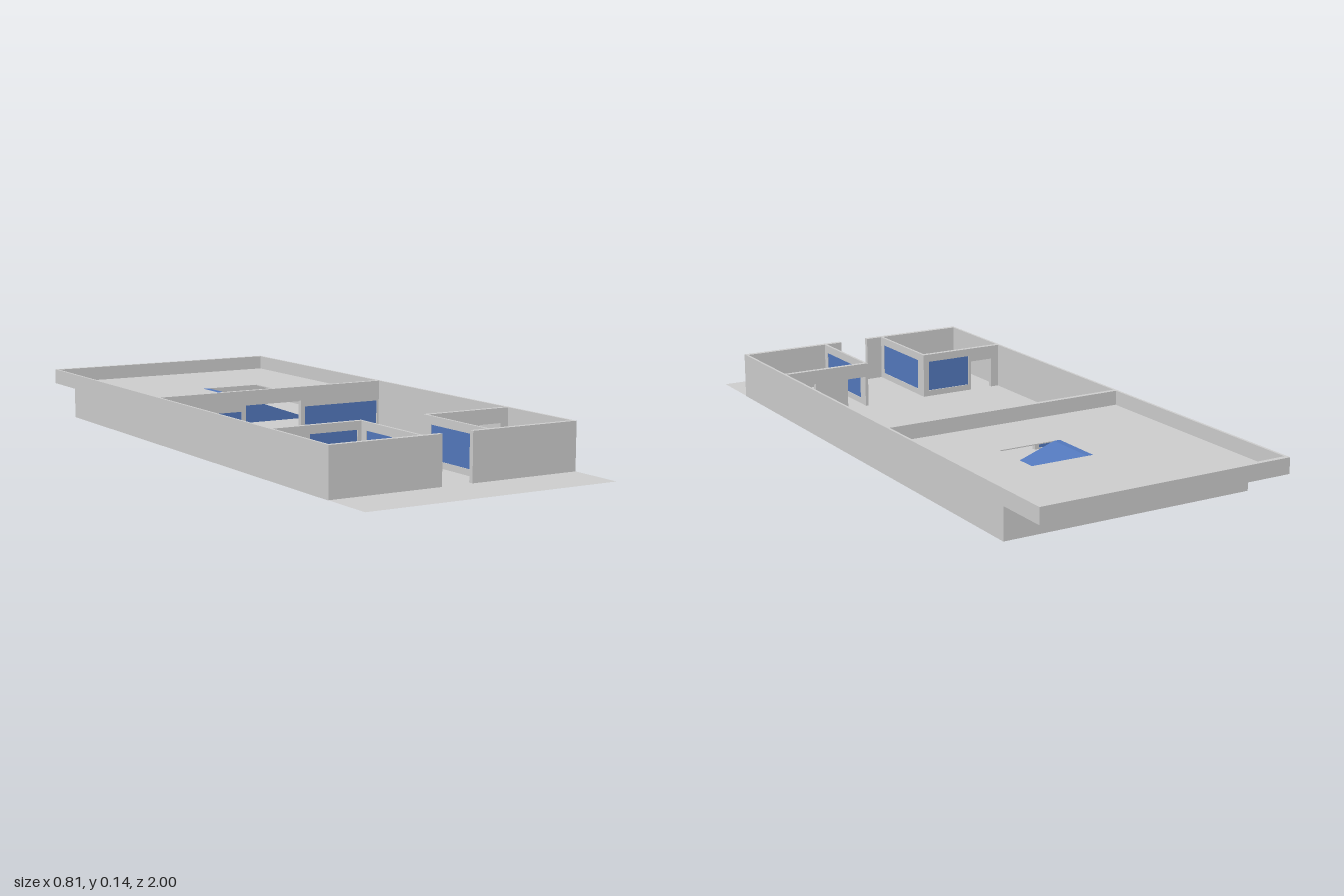
import * as THREE from 'three';

const W = 0.405, H = 0.145, DECK = 0.1, TX = 0.008, TZ = 0.015;

export function createModel() {
  const model = new THREE.Group();
  const grey = new THREE.MeshStandardMaterial({ color: 0xcccccc, side: THREE.DoubleSide });
  const blue = new THREE.MeshStandardMaterial({ color: 0x5277bb, side: THREE.DoubleSide });

  const add = (name, geometry, material, parent = model) => {
    const mesh = new THREE.Mesh(geometry, material);
    mesh.name = name;
    parent.add(mesh);
    return mesh;
  };
  const box = (name, x0, x1, y0, y1, z0, z1, material = grey, parent = model) => {
    const mesh = add(name, new THREE.BoxGeometry(x1 - x0, y1 - y0, z1 - z0), material, parent);
    mesh.position.set((x0 + x1) / 2, (y0 + y1) / 2, (z0 + z1) / 2);
    return mesh;
  };
  const outline = (points) => new THREE.Shape(points.map(([x, y]) => new THREE.Vector2(x, y)));
  const extrude = (shape, depth) => new THREE.ExtrudeGeometry(shape, { depth, bevelEnabled: false });

  // Upright wall in its own x/y plane; doors are [x0, x1], windows [x0, x1, y0, y1], left to right
  function wall(name, from, to, thickness, doors = [], windows = []) {
    const group = new THREE.Group();
    group.name = name;
    const points = [[from, 0]];
    for (const [a, b] of doors) points.push([a, 0], [a, DECK], [b, DECK], [b, 0]);
    points.push([to, 0], [to, H], [from, H]);
    const shape = outline(points);
    for (const [a, b, c, d] of windows) {
      shape.holes.push(outline([[a, c], [a, d], [b, d], [b, c]]));
      box('windowPane', a, b, c, d, thickness * 0.25, thickness * 0.75, blue, group);
    }
    add('wallPanel', extrude(shape, thickness), grey, group);
    model.add(group);
    return group;
  }

  // Thin ground floor, running out in front of the entrance
  const floor = add('groundFloor', new THREE.PlaneGeometry(2 * W, 1.83), grey);
  floor.rotation.x = -Math.PI / 2;
  floor.position.set(0, 0.001, 0.085);

  // Long side walls, cut away beneath the rear overhang
  for (const side of [-1, 1]) {
    const profile = outline([[-0.83, 0], [0.825, 0], [0.825, H], [-1, H], [-1, DECK - 0.003], [-0.83, DECK - 0.003]]);
    const mesh = add(side > 0 ? 'leftOuterWall' : 'rightOuterWall', extrude(profile, TX), grey);
    mesh.rotation.y = -Math.PI / 2;
    mesh.position.x = side > 0 ? W : -W + TX;
  }

  // Rear wall under the raised deck, and parapet at the overhang edge
  box('rearWall', -W + TX, W - TX, 0, DECK - 0.003, -0.83, -0.83 + TZ);
  box('rearParapet', -W + TX, W - TX, DECK - 0.003, H, -1, -1 + TZ);

  // Raised deck with a ramp opening
  const deckShape = outline([[-W + TX, 0.19], [W - TX, 0.19], [W - TX, 0.99], [-W + TX, 0.99]]);
  deckShape.holes.push(outline([[-0.04, 0.42], [-0.04, 0.59], [0.165, 0.59], [0.165, 0.42]]));
  const deck = add('raisedDeck', extrude(deckShape, 0.003), grey);
  deck.rotation.x = -Math.PI / 2;
  deck.position.y = DECK - 0.003;

  // Ramp rising from the ground floor to the deck
  const ramp = add('ramp', extrude(outline([[-0.04, 0], [0.27, 0], [-0.02, DECK], [-0.04, DECK]]), 0.17), blue);
  ramp.position.z = -0.59;

  // Dividing wall with a wide opening and low glazing
  wall('dividingWall', -W + TX, W - TX, TZ, [[-0.1, 0.1]],
    [[-0.39, -0.115, 0.004, 0.08], [0.115, 0.39, 0.004, 0.08]]).position.z = -0.195;

  // Two front rooms flanking the entrance
  wall('rightRoomBackWall', -W + TX, -0.105, TZ, [[-0.37, -0.29]],
    [[-0.28, -0.125, 0.02, 0.12]]).position.z = 0.505;
  wall('leftRoomBackWall', 0.105, W - TX, TZ, [[0.115, 0.18], [0.295, 0.37]]).position.z = 0.505;
  for (const side of [-1, 1]) {
    const label = side > 0 ? 'left' : 'right';
    const inner = wall(label + 'RoomInnerWall', 0.52, 0.81, TX, [], [[0.545, 0.79, 0.02, 0.12]]);
    inner.rotation.y = -Math.PI / 2;
    inner.position.x = side > 0 ? 0.105 + TX : -0.105;
    const [a, b] = side > 0 ? [0.05, W - TX] : [-W + TX, -0.05];
    box(label + 'FrontWall', a, b, 0, H, 0.81, 0.825);
  }
  return model;
}
